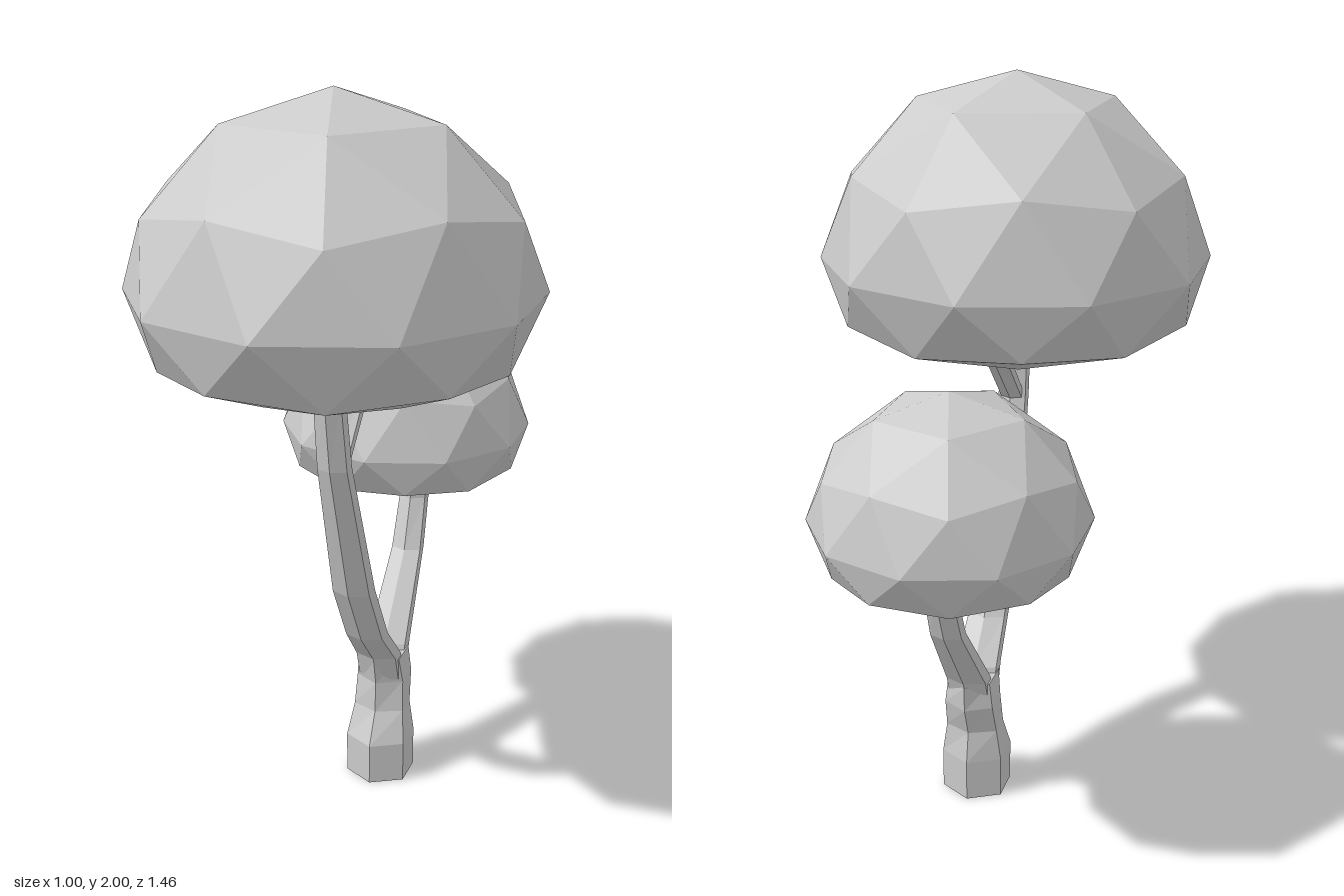
import * as THREE from 'three';

const material = new THREE.MeshStandardMaterial({ color: 0xcccccc, flatShading: true });

function addMesh(group, name, geometry) {
  const flat = geometry.index ? geometry.toNonIndexed() : geometry;
  flat.computeVertexNormals();
  const mesh = new THREE.Mesh(flat, material);
  mesh.name = name;
  group.add(mesh);
  return mesh;
}

// Six-sided limb through level rings, each given as [z, y, radius in x, radius in z]
function limb(rings, x = 0.033) {
  const last = rings.length - 1;
  const geometry = new THREE.CylinderGeometry(1, 1, 1, 6, last);
  const p = geometry.attributes.position;
  for (let i = 0; i < p.count; i++) {
    const [z, y, rx, rz] = rings[Math.round((p.getY(i) + 0.5) * last)];
    p.setXYZ(i, x + p.getX(i) * rx, y, z + p.getZ(i) * rz);
  }
  return geometry;
}

// Height of each level of the unit sphere after the crown is squashed: domed top, flat underside
const levels = [[-1, -0.436], [-0.851, -0.436], [-0.526, -0.327], [-0.447, -0.289], [0, 0],
  [0.447, 0.382], [0.526, 0.46], [0.851, 0.783], [1, 0.93]];

function squash(y) {
  let k = 1;
  while (k < levels.length - 1 && y > levels[k][0]) k++;
  const [y0, h0] = levels[k - 1], [y1, h1] = levels[k];
  return THREE.MathUtils.mapLinear(THREE.MathUtils.clamp(y, y0, y1), y0, y1, h0, h1);
}

// Faceted crown: an icosphere standing on one of its corners
function crown(radius) {
  const geometry = new THREE.IcosahedronGeometry(1, 1);
  geometry.rotateZ(-Math.atan(2 / (1 + Math.sqrt(5))));
  const p = geometry.attributes.position;
  for (let i = 0; i < p.count; i++) p.setY(i, squash(p.getY(i)));
  return geometry.scale(radius, radius, radius);
}

export function createModel() {
  const tree = new THREE.Group();
  tree.name = 'tree';

  // Trunk with a wider foot
  addMesh(tree, 'trunk', limb([
    [-0.0625, 0, 0.1, 0.0975], [-0.0625, 0.12, 0.1, 0.0975], [-0.078, 0.21, 0.085, 0.065],
    [-0.097, 0.3, 0.08, 0.078], [-0.09, 0.375, 0.07, 0.088],
  ]));

  // Branches, each running a little way into the trunk and its crown
  addMesh(tree, 'frontBranch', limb([
    [-0.07, 0.31, 0.068, 0.045], [-0.043, 0.39, 0.068, 0.046], [0.056, 0.5, 0.061, 0.047],
    [0.16, 0.68, 0.06, 0.045], [0.297, 1.08, 0.046, 0.036], [0.33, 1.28, 0.042, 0.035],
    [0.338, 1.34, 0.04, 0.034],
  ]));
  addMesh(tree, 'backBranch', limb([
    [-0.105, 0.31, 0.065, 0.045], [-0.136, 0.39, 0.065, 0.046], [-0.305, 0.615, 0.05, 0.036],
    [-0.36, 0.76, 0.045, 0.038], [-0.362, 0.88, 0.043, 0.036],
  ]));
  addMesh(tree, 'sideTwig', limb([
    [0.29, 1.08, 0.035, 0.03], [0.1, 1.28, 0.035, 0.038], [0.05, 1.335, 0.035, 0.038],
  ]));

  // Crowns
  addMesh(tree, 'largeCrown', crown(0.527)).position.set(0, 1.51, 0.2);
  const small = addMesh(tree, 'smallCrown', crown(0.36));
  small.position.set(0, 0.98, -0.37);
  small.rotation.y = Math.PI;

  return tree;
}
